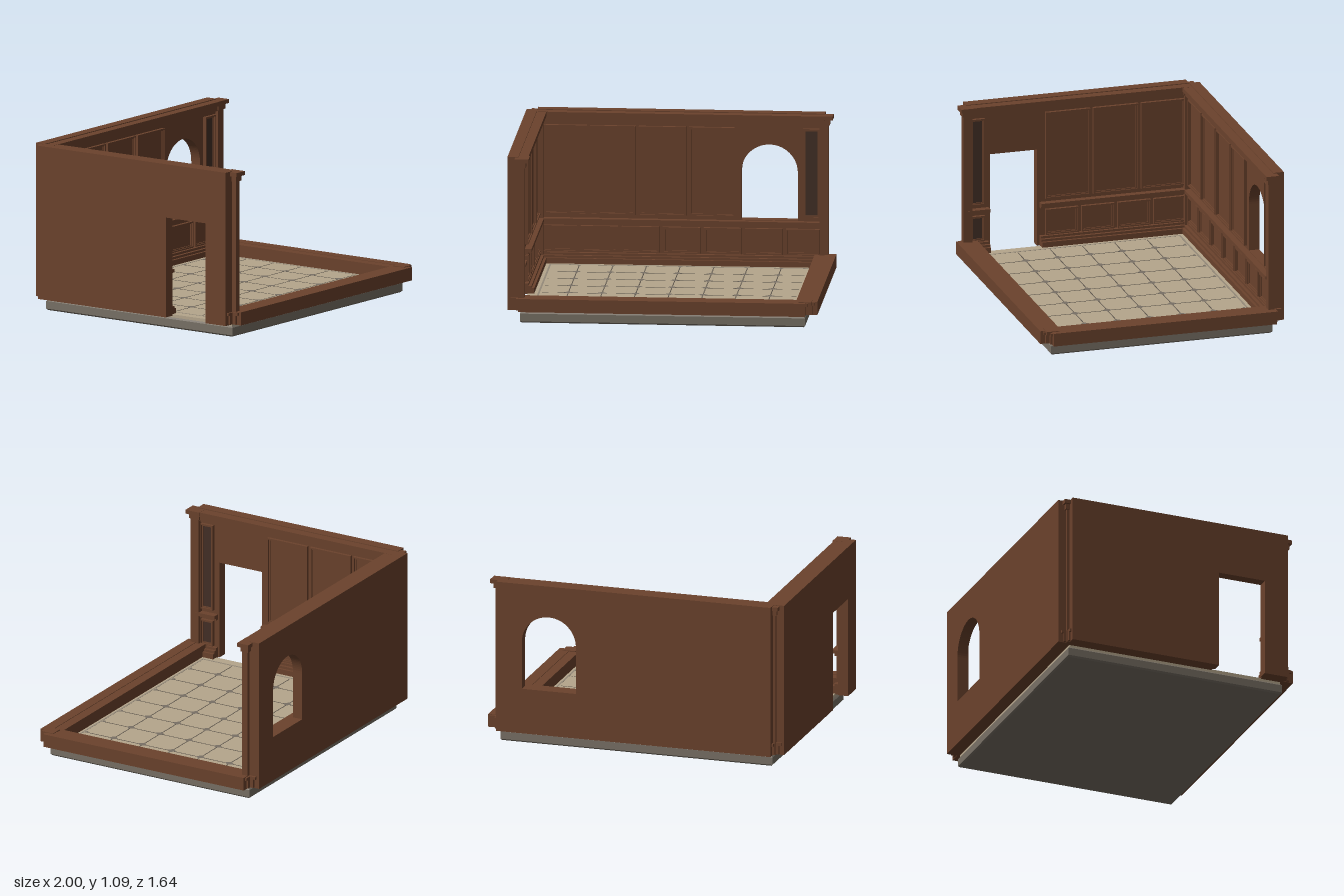
import * as THREE from 'three';

const mat = (name, color) => {
  const m = new THREE.MeshStandardMaterial({ color });
  m.name = name;
  return m;
};

export function createModel() {
  const wood = mat('wood', 0x6b422c);
  const darkWood = mat('darkWood', 0x432f26);
  const stone = mat('stone', 0x787065);
  const tile = mat('tile', 0xb5a68c);
  const border = mat('borderStone', 0x958a79);
  const grout = mat('grout', 0x5f574d);

  const root = new THREE.Group();
  root.name = 'panelledRoom';

  const add = (parent, name, geo, material) => {
    const m = new THREE.Mesh(geo, material);
    m.name = name;
    parent.add(m);
    return m;
  };
  // Box given by its limits on each axis
  const box = (parent, name, x0, x1, y0, y1, z0, z1, material = wood) => {
    const g = new THREE.BoxGeometry(x1 - x0, y1 - y0, z1 - z0);
    g.translate((x0 + x1) / 2, (y0 + y1) / 2, (z0 + z1) / 2);
    return add(parent, name, g, material);
  };
  const rect = (Kind, x0, x1, y0, y1) => {
    const s = new Kind();
    s.moveTo(x0, y0);
    s.lineTo(x1, y0);
    s.lineTo(x1, y1);
    s.lineTo(x0, y1);
    s.closePath();
    return s;
  };

  // Foundation with chamfered edges
  const ch = 0.01;
  const slab = new THREE.ExtrudeGeometry(rect(THREE.Shape, -0.92 + ch, 0.92 - ch, -0.745 + ch, 0.745 - ch), {
    depth: 0.07 - 2 * ch, bevelThickness: ch, bevelSize: ch, bevelSegments: 1,
  });
  slab.rotateX(-Math.PI / 2).translate(0, 0.004 - 0.004 + ch, 0);
  add(root, 'foundation', slab, stone);

  // Tiled floor
  const F = 0.09;
  const floor = new THREE.Group();
  floor.name = 'floor';
  root.add(floor);
  box(floor, 'floorPlate', -0.91, 0.91, 0.068, F, -0.735, 0.735, tile);
  for (const s of [-1, 1]) {
    const z = s * 0.66, x = s * 0.84;
    box(floor, 'floorBorder', -0.846, 0.846, F - 0.002, F + 0.001, z - 0.006, z + 0.006, border);
    box(floor, 'floorBorder', x - 0.006, x + 0.006, F - 0.002, F + 0.001, -0.654, 0.654, border);
  }
  for (let i = -3; i <= 3; i++) {
    const p = i * 0.217;
    if (Math.abs(i) < 3) box(floor, 'groutLine', -0.82, 0.82, F - 0.002, F + 0.001, p - 0.003, p + 0.003, grout);
    box(floor, 'groutLine', p - 0.003, p + 0.003, F - 0.002, F + 0.0012, -0.64, 0.64, grout);
    for (let j = -3; j <= 3; j++) {
      // Diamonds, cut in half along the front and back edges
      const half = Math.abs(j) === 3;
      const d = new THREE.CircleGeometry(half ? 0.02 : 0.031, half ? 2 : 4, 0, half ? Math.PI : 2 * Math.PI);
      d.rotateX(-Math.PI / 2);
      if (j === -3) d.rotateY(Math.PI);
      d.translate(p, F + 0.003, half ? Math.sign(j) * 0.645 : j * 0.217);
      add(floor, 'floorDiamond', d, stone);
    }
  }

  // Walls: local x runs along the wall, local z points into the room
  const B = 0.085, H = 1.09, T = 0.07;
  const wall = (name, shape) => {
    const g = new THREE.Group();
    g.name = name;
    root.add(g);
    const geo = new THREE.ExtrudeGeometry(shape, { depth: T, bevelEnabled: false, curveSegments: 20 });
    geo.translate(0, 0, -T);
    add(g, name + 'Body', geo, wood);
    return g;
  };
  // Moulding made of stacked strips: [bottom, top, depth]
  const moulding = (g, name, a, b, steps) => {
    for (const [y0, y1, d] of steps) box(g, name, a, b, y0, y1, -0.005, d);
  };
  const CROWN = [[1.0, 1.02, 0.02], [1.02, 1.055, 0.04], [1.055, 1.085, 0.062]];
  const RAIL = [[0.345, 0.36, 0.025], [0.36, 0.382, 0.045]];
  const SKIRT = [[B, 0.125, 0.062], [0.125, 0.14, 0.045], [0.14, 0.155, 0.025]];

  // Panel: raised outer frame, lower inner frame and a flat field
  const panel = (g, a, b, y0, y1, field = wood) => {
    const ring = (inset, w, d) => {
      const s = rect(THREE.Shape, a + inset, b - inset, y0 + inset, y1 - inset);
      const k = inset + w;
      s.holes.push(rect(THREE.Path, a + k, b - k, y0 + k, y1 - k));
      add(g, 'panelFrame', new THREE.ExtrudeGeometry(s, { depth: d, bevelEnabled: false }), wood);
    };
    ring(0, 0.009, 0.022);
    ring(0.009, 0.007, 0.013);
    box(g, 'panelField', a + 0.016, b - 0.016, y0 + 0.016, y1 - 0.016, -0.002, 0.005, field);
  };

  // Back wall with arched window
  const backShape = rect(THREE.Shape, -0.93, 0.925, B, H);
  const win = new THREE.Path();
  win.moveTo(0.385, 0.385);
  win.lineTo(0.75, 0.385);
  win.lineTo(0.75, 0.7);
  win.absarc(0.5675, 0.7, 0.1825, 0, Math.PI, false);
  win.lineTo(0.385, 0.385);
  backShape.holes.push(win);
  const back = wall('backWall', backShape);
  back.position.z = -0.75;
  moulding(back, 'crown', -0.93, 0.925, CROWN);
  moulding(back, 'chairRail', -0.93, 0.9, RAIL);
  moulding(back, 'skirting', -0.93, 0.925, SKIRT);
  for (const [a, b] of [[-0.89, -0.61], [-0.59, -0.295], [-0.275, 0.03], [0.05, 0.345]]) panel(back, a, b, 0.405, 0.992);
  panel(back, 0.785, 0.895, 0.405, 0.992, darkWood);
  for (let i = -3; i <= 3; i++) {
    panel(back, Math.max(i * 0.265 - 0.121, -0.89), Math.min(i * 0.265 + 0.121, 0.89), 0.16, 0.332);
  }

  // Side wall with doorway
  const sideShape = new THREE.Shape();
  [[-0.75, B], [-0.59, B], [-0.59, 0.74], [-0.272, 0.74], [-0.272, B], [0.75, B], [0.75, H], [-0.75, H]]
    .forEach(([x, y], i) => (i ? sideShape.lineTo(x, y) : sideShape.moveTo(x, y)));
  const side = wall('sideWall', sideShape);
  side.rotation.y = Math.PI / 2;
  side.position.x = -0.93;
  moulding(side, 'crown', -0.75, 0.75, CROWN);
  for (const [a, b] of [[-0.75, -0.6], [-0.255, 0.75]]) {
    moulding(side, 'chairRail', a, b, RAIL);
    moulding(side, 'skirting', a, b, SKIRT);
  }
  for (const [a, b] of [[-0.22, 0.08], [0.1, 0.405], [0.425, 0.72]]) panel(side, a, b, 0.405, 0.992);
  for (let i = 0; i < 4; i++) panel(side, -0.22 + i * 0.242, 0.002 + i * 0.242, 0.16, 0.332);
  panel(side, -0.722, -0.628, 0.405, 0.992, darkWood);
  panel(side, -0.722, -0.628, 0.16, 0.332, darkWood);

  // Low kerb walls on the open sides
  box(root, 'frontKerb', -0.925, 0.925, B, 0.171, 0.745, 0.818);
  box(root, 'frontKerbMoulding', -0.925, 0.925, B, 0.168, 0.68, 0.745);
  box(root, 'rightKerb', 0.925, 1, B, 0.171, -0.75, 0.75);
  box(root, 'rightKerbMoulding', 0.86, 0.925, B, 0.168, -0.75, 0.75);

  // Cross-shaped plinth blocks at the four corners
  const cross = (name, x, z, y0, y1, r) => {
    box(root, name, x - r, x + r, y0, y1, z - 0.018, z + 0.018);
    box(root, name, x - 0.014, x + 0.014, y0, y1, z - r, z + r);
  };
  for (const sx of [-1, 1]) for (const sz of [-1, 1]) {
    const x = sx * 0.928, z = sz * 0.745;
    cross('cornerPlinth', x, z, B + 0.005, 0.148, 0.04);
    cross('cornerPlinthCap', x, z, 0.148, 0.167, 0.056);
  }
  box(root, 'cornerKerbCap', 0.88, 0.965, 0.15, 0.175, 0.7, 0.785);

  // Full-height corner posts with stepped capitals
  const post = (x0, x1, z0, z1) => {
    box(root, 'cornerPost', x0, x1, B, 1.03, z0, z1);
    box(root, 'postCapital', x0 - 0.008, x1 + 0.008, 1.025, 1.06, z0 - 0.008, z1 + 0.008);
    box(root, 'postCapitalTop', x0 - 0.022, x1 + 0.028, 1.06, 1.086, z0 - 0.022, z1 + 0.022);
  };
  post(-0.928, -0.888, 0.72, 0.78);
  post(0.892, 0.952, -0.75, -0.71);
  post(-0.948, -0.89, -0.768, -0.71);

  return root;
}
